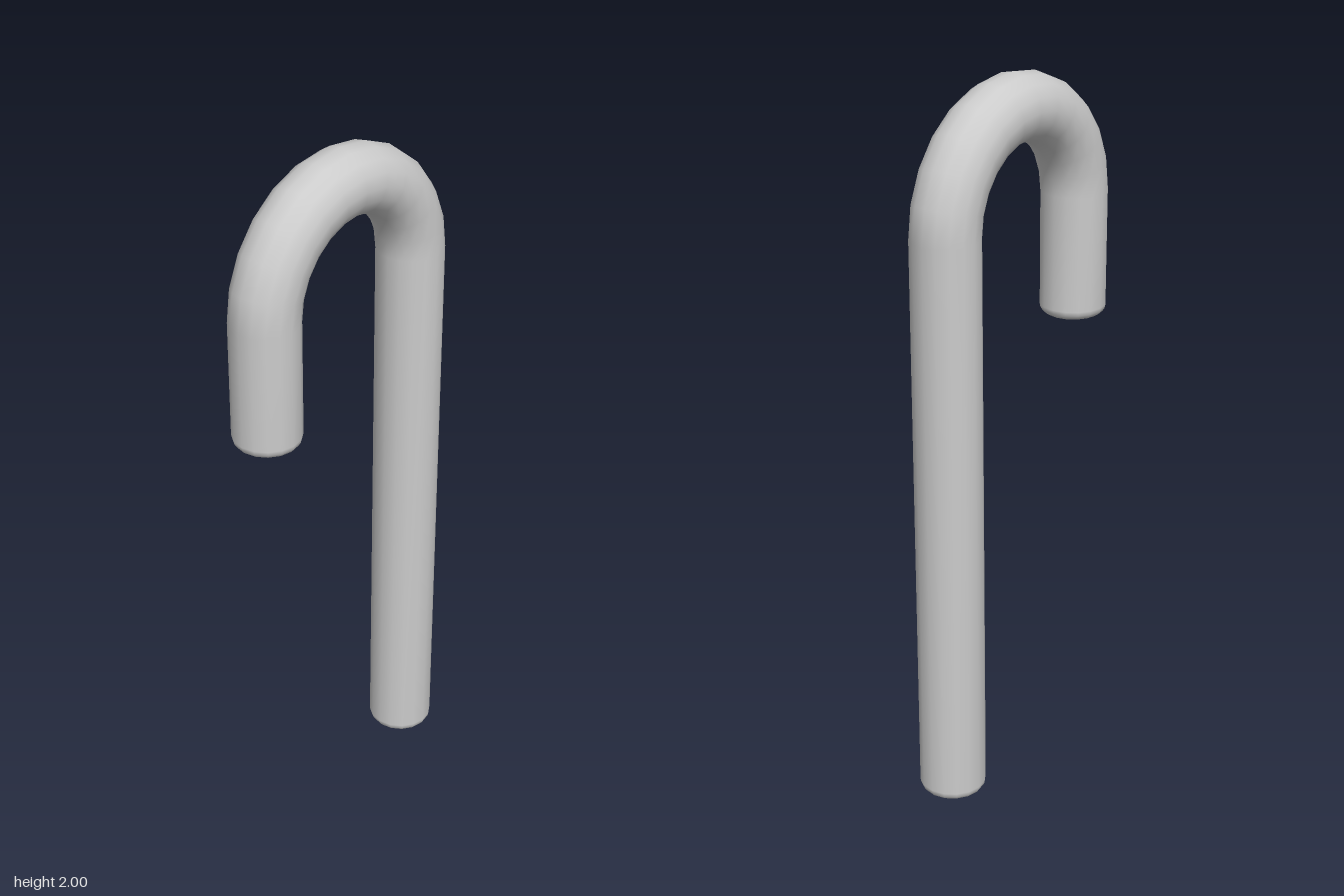
import * as THREE from 'three';

const R = 0.0935;       // tube radius
const BEND = 0.2805;    // radius of the crook's centre line
const BEND_Y = 1.626;   // height of the crook's centre
const TIP_Y = 1.272;    // lower end of the short arm
const SIDES = 16, ARC = 12, BEVEL = 0.028;

// Stations along the centre line: angle round the crook, height offset, ring radius
function stations() {
  const cap = [[0, 0], [R - BEVEL, 0]];
  for (let i = 1; i <= 4; i++) {
    const a = (i / 4) * Math.PI / 2;
    cap.push([R - BEVEL + BEVEL * Math.sin(a), BEVEL * (1 - Math.cos(a))]);
  }
  const list = cap.map(([r, h]) => ({ angle: Math.PI, drop: h - BEND_Y, r }));
  for (let i = 0; i <= ARC; i++) list.push({ angle: Math.PI * (1 - i / ARC), drop: 0, r: R });
  cap.reverse().forEach(([r, h]) => list.push({ angle: 0, drop: TIP_Y + h - BEND_Y, r }));
  return list;
}

// Sweep a round section through the stations
function caneGeometry() {
  const rings = stations(), pos = [], index = [];
  rings.forEach(({ angle, drop, r }, i) => {
    for (let j = 0; j < SIDES; j++) {
      const a = (j / SIDES) * Math.PI * 2;
      const reach = BEND + r * Math.sin(a);
      pos.push(r * Math.cos(a), BEND_Y + drop + reach * Math.sin(angle), reach * Math.cos(angle));
      if (i === rings.length - 1) continue;
      const k = (j + 1) % SIDES, p = i * SIDES, q = p + SIDES;
      if (rings[i + 1].r > 0) index.push(p + j, q + k, q + j);
      if (r > 0) index.push(p + j, p + k, q + k);
    }
  });
  const geo = new THREE.BufferGeometry();
  geo.setAttribute('position', new THREE.Float32BufferAttribute(pos, 3));
  geo.setIndex(index);
  geo.computeVertexNormals();
  return geo;
}

export function createModel() {
  const group = new THREE.Group();
  group.name = 'cane';
  const cane = new THREE.Mesh(caneGeometry(), new THREE.MeshStandardMaterial({ color: 0xcccccc }));
  cane.name = 'hookedCane';
  group.add(cane);
  return group;
}
